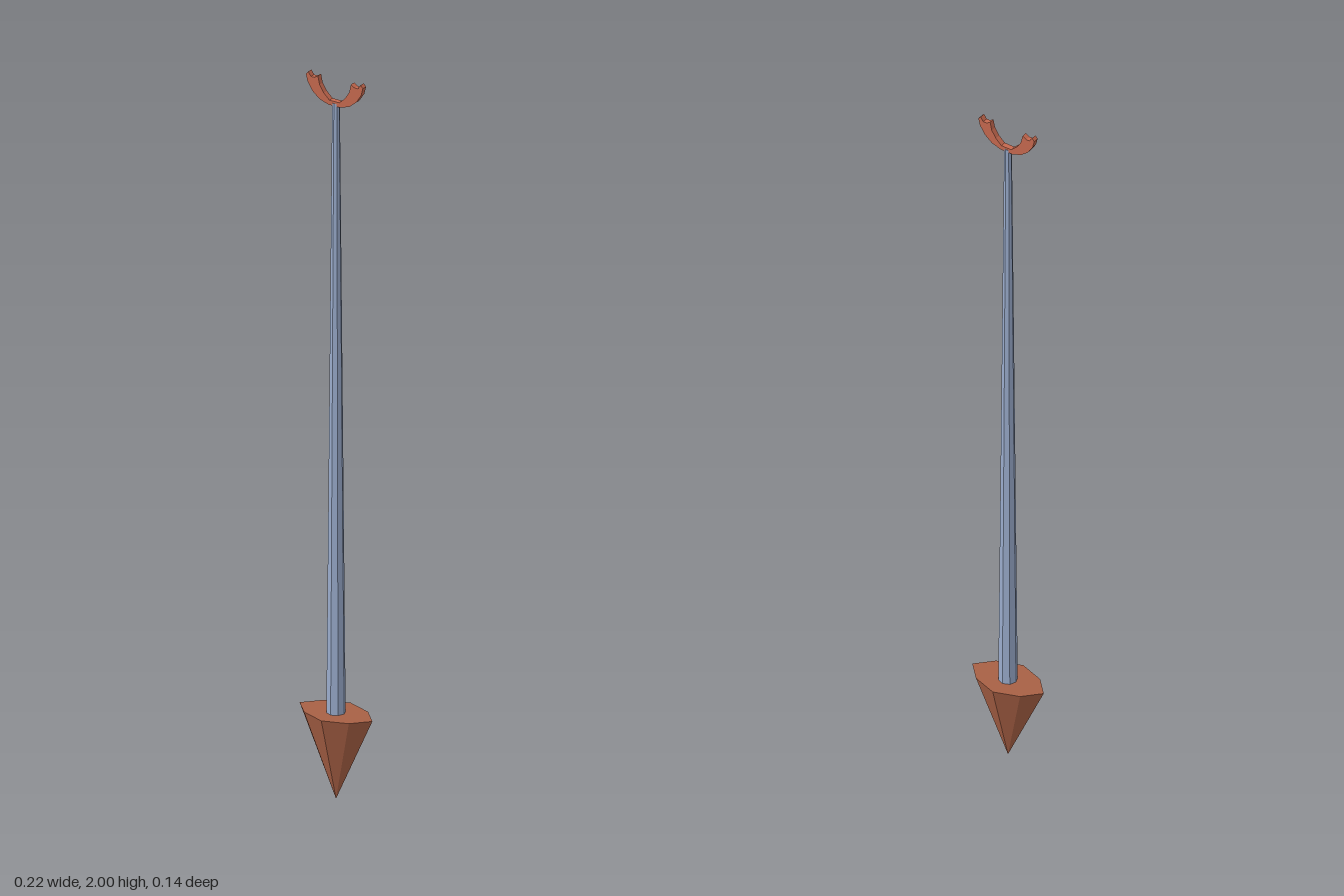
import * as THREE from 'three';

function part(name, geometry, color) {
  const mesh = new THREE.Mesh(geometry, new THREE.MeshStandardMaterial({ color, flatShading: true }));
  mesh.name = name;
  return mesh;
}

export function createModel() {
  const model = new THREE.Group();
  model.name = 'arrow';

  // Tapered eight-sided shaft
  const shaft = part('shaft', new THREE.CylinderGeometry(0.01, 0.025, 1.69, 8), 0x9aaccc);
  shaft.position.y = 1.085;
  model.add(shaft);

  // Arrowhead: eight-sided cone pointing down, flattened to a pointed oval
  const cone = new THREE.ConeGeometry(1, 0.24, 8);
  cone.rotateX(Math.PI);
  const p = cone.attributes.position;
  for (let i = 0; i < p.count; i++) {
    const x = p.getX(i), z = p.getZ(i);
    const diagonal = Math.abs(x) > 0.1 && Math.abs(z) > 0.1;
    p.setX(i, x * (diagonal ? 0.096 : 0.11));
    p.setZ(i, z * (diagonal ? 0.063 : 0.068));
  }
  cone.computeVertexNormals();
  const head = part('arrowhead', cone, 0xa86045);
  head.position.y = 0.125;
  model.add(head);

  // Crescent nock with notched tips, mirrored across x
  const half = [
    [0.018, 1.923], [0.045, 1.932], [0.066, 1.949], [0.081, 1.972], [0.086, 1.992],
    [0.079, 2.0], [0.071, 1.988], [0.061, 1.988], [0.05, 1.995], [0.045, 1.972],
    [0.032, 1.952], [0.015, 1.936],
  ];
  const mirrored = half.map(([x, y]) => [-x, y]).reverse();
  const outline = [...half, ...mirrored].map(([x, y]) => new THREE.Vector2(x, y));
  const crescent = new THREE.ExtrudeGeometry(new THREE.Shape(outline), { depth: 0.015, bevelEnabled: false });
  crescent.translate(0, 0, -0.0075);
  model.add(part('nock', crescent, 0xc4684e));

  return model;
}
